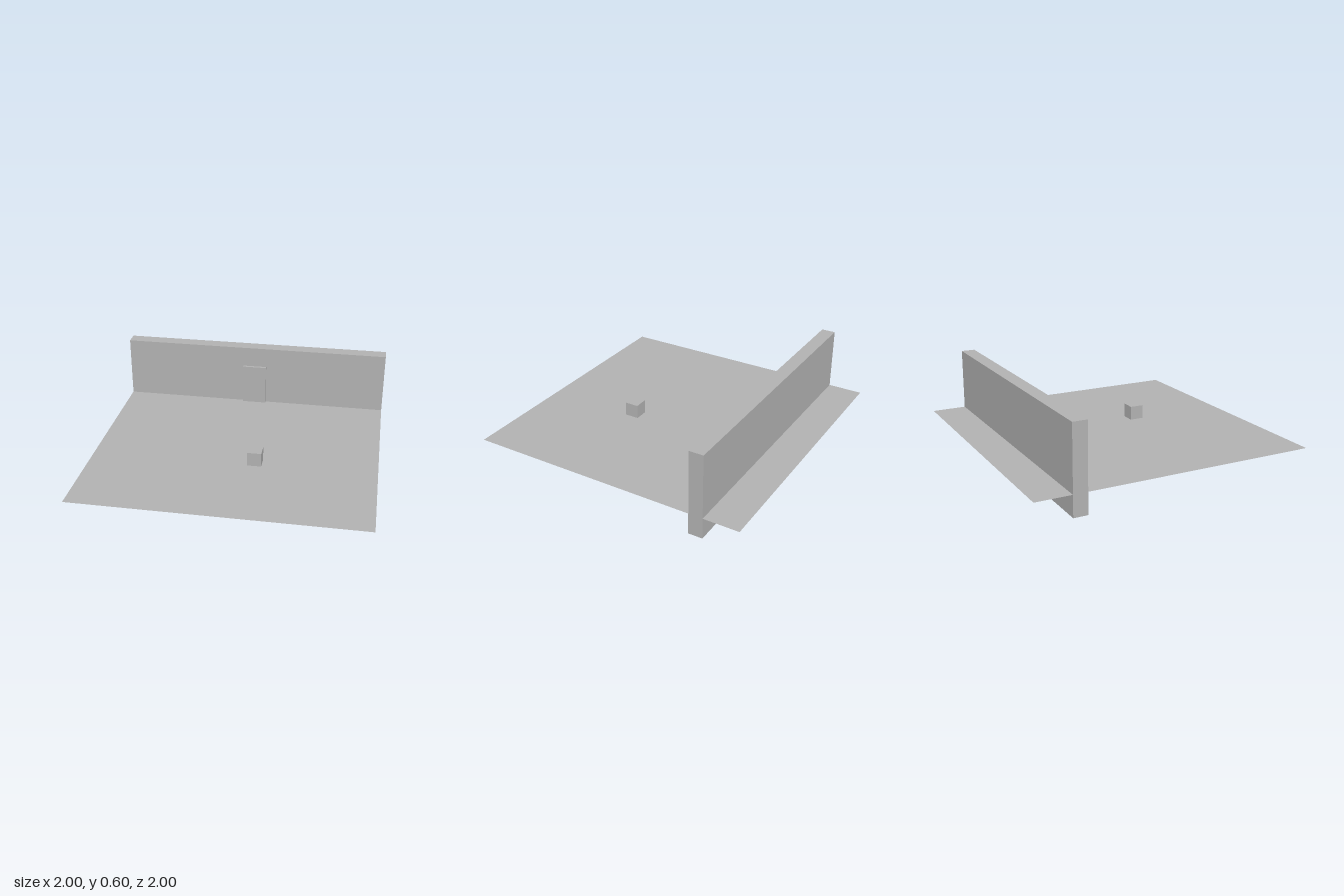
import * as THREE from 'three';

export function createModel() {
  const model = new THREE.Group();
  model.name = 'wallScene';

  const grey = new THREE.MeshStandardMaterial({ color: 0xb2b2b2 });
  grey.name = 'plain grey';
  const greySheet = new THREE.MeshStandardMaterial({ color: 0xb2b2b2, side: THREE.DoubleSide });
  greySheet.name = 'plain grey sheet';

  const floorY = 0.15;

  // Box given by its size and the centre of its underside
  function addBox(name, [w, h, d], [x, y, z]) {
    const mesh = new THREE.Mesh(new THREE.BoxGeometry(w, h, d), grey);
    mesh.name = name;
    mesh.position.set(x, y + h / 2, z);
    model.add(mesh);
  }

  // Thin floor, cutting through the lower part of the wall
  const floor = new THREE.Mesh(new THREE.PlaneGeometry(2, 2).rotateX(-Math.PI / 2), greySheet);
  floor.name = 'floor';
  floor.position.y = floorY;
  model.add(floor);

  // Wall, with a door on its front and a small block on the floor
  addBox('wall', [2, 0.6, 0.1], [0, 0, -0.7]);
  addBox('door', [0.18, 0.3, 0.02], [0, floorY, -0.64]);
  addBox('block', [0.1, 0.1, 0.1], [0.15, floorY, 0.3]);

  return model;
}
